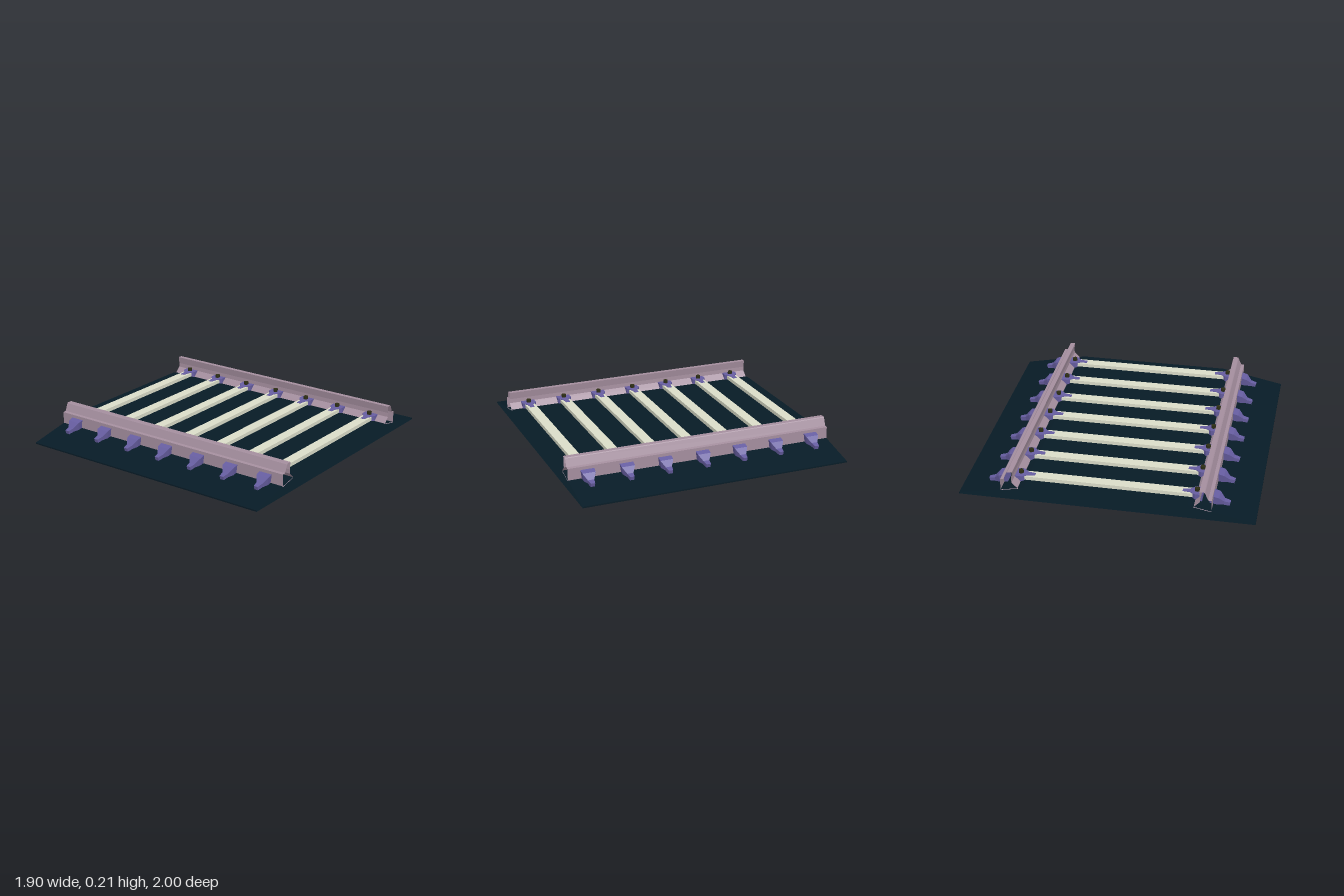
import * as THREE from 'three';

const mat = (name, color) => {
  const m = new THREE.MeshStandardMaterial({ color, side: THREE.DoubleSide });
  m.name = name;
  return m;
};

// Skin a list of equal-sized cross-section rings; optionally close the ends
function loft(rings, caps = true) {
  const pos = [];
  const tri = (...p) => p.forEach((v) => pos.push(...v));
  const n = rings[0].length;
  for (let r = 0; r + 1 < rings.length; r++) {
    for (let i = 0; i < n; i++) {
      const j = (i + 1) % n;
      const a = rings[r][i], b = rings[r][j], c = rings[r + 1][j], d = rings[r + 1][i];
      tri(a, b, c);
      tri(a, c, d);
    }
  }
  if (caps) {
    const first = rings[0], last = rings[rings.length - 1];
    for (let i = 1; i + 1 < n; i++) {
      tri(first[0], first[i + 1], first[i]);
      tri(last[0], last[i], last[i + 1]);
    }
  }
  const g = new THREE.BufferGeometry();
  g.setAttribute('position', new THREE.Float32BufferAttribute(pos, 3));
  g.computeVertexNormals();
  return g;
}

// Profile of [z, y] points, counter-clockwise with z to the right, swept along x, open at the ends
const sweep = (profile, half) =>
  loft([half, -half].map((x) => profile.map(([z, y]) => [x, y, z])), false);

// Clip from sections [zTop, yTop, halfTop, zBottom, yBottom, halfBottom], with z increasing
const clip = (sections) =>
  loft(sections.map(([zt, yt, wt, zb, yb, wb]) => [
    [-wt, yt, zt], [-wb, yb, zb], [wb, yb, zb], [wt, yt, zt],
  ]));

export function createModel() {
  const group = new THREE.Group();
  const bedMat = mat('dark ballast', 0x071b26);
  const railMat = mat('mauve steel', 0xa48e9e);
  const clipMat = mat('violet clip', 0x665da0);
  const tieMat = mat('pale concrete', 0xdadcc8);
  const boltMat = mat('dark bolt', 0x2c2d14);

  const add = (parent, name, geo, material, x = 0, y = 0, z = 0) => {
    const m = new THREE.Mesh(geo, material);
    m.name = name;
    m.position.set(x, y, z);
    parent.add(m);
    return m;
  };

  // Ballast bed: shoulders climb beneath the rails to a flat crown under the ties
  add(group, 'bed', sweep([
    [-1, 0], [1, 0], [1, 0.01], [0.55, 0.1], [-0.55, 0.1], [-1, 0.01],
  ], 0.95), bedMat);

  const railGeo = sweep([
    [0.587, 0.088], [0.708, 0.064], [0.708, 0.15], [0.685, 0.153],
    [0.663, 0.205], [0.658, 0.21], [0.625, 0.21], [0.632, 0.16], [0.63, 0.13],
  ], 0.95);
  const innerClip = clip([
    [0.5, 0.128, 0.015, 0.5, 0.098, 0.015],
    [0.55, 0.13, 0.02, 0.55, 0.088, 0.02],
    [0.585, 0.133, 0.05, 0.585, 0.08, 0.048],
    [0.635, 0.133, 0.05, 0.635, 0.08, 0.048],
  ]);
  const outerClip = clip([
    [0.692, 0.133, 0.048, 0.68, 0.064, 0.038],
    [0.746, 0.118, 0.046, 0.738, 0.055, 0.036],
    [0.78, 0.082, 0.022, 0.77, 0.05, 0.02],
    [0.82, 0.073, 0.015, 0.812, 0.043, 0.014],
  ]);
  const boltGeo = new THREE.CylinderGeometry(0.017, 0.017, 0.022, 8);
  const tieGeo = new THREE.BoxGeometry(0.072, 0.026, 1.16);

  // Two sides, one turned half round, each with its rail, clips and bolts
  for (const [side, turn] of [['front', 0], ['back', Math.PI]]) {
    const half = new THREE.Group();
    half.name = side + 'RailAssembly';
    half.rotation.y = turn;
    group.add(half);
    add(half, 'rail', railGeo, railMat);
    for (let i = -3; i <= 3; i++) {
      const x = i * 0.272;
      add(half, 'innerClip', innerClip, clipMat, x);
      add(half, 'outerClip', outerClip, clipMat, x);
      add(half, 'bolt', boltGeo, boltMat, x, 0.143, 0.597);
    }
  }

  // Crossties resting on the crown
  for (let i = -3; i <= 3; i++) add(group, 'tie', tieGeo, tieMat, i * 0.272, 0.113, 0);

  return group;
}
